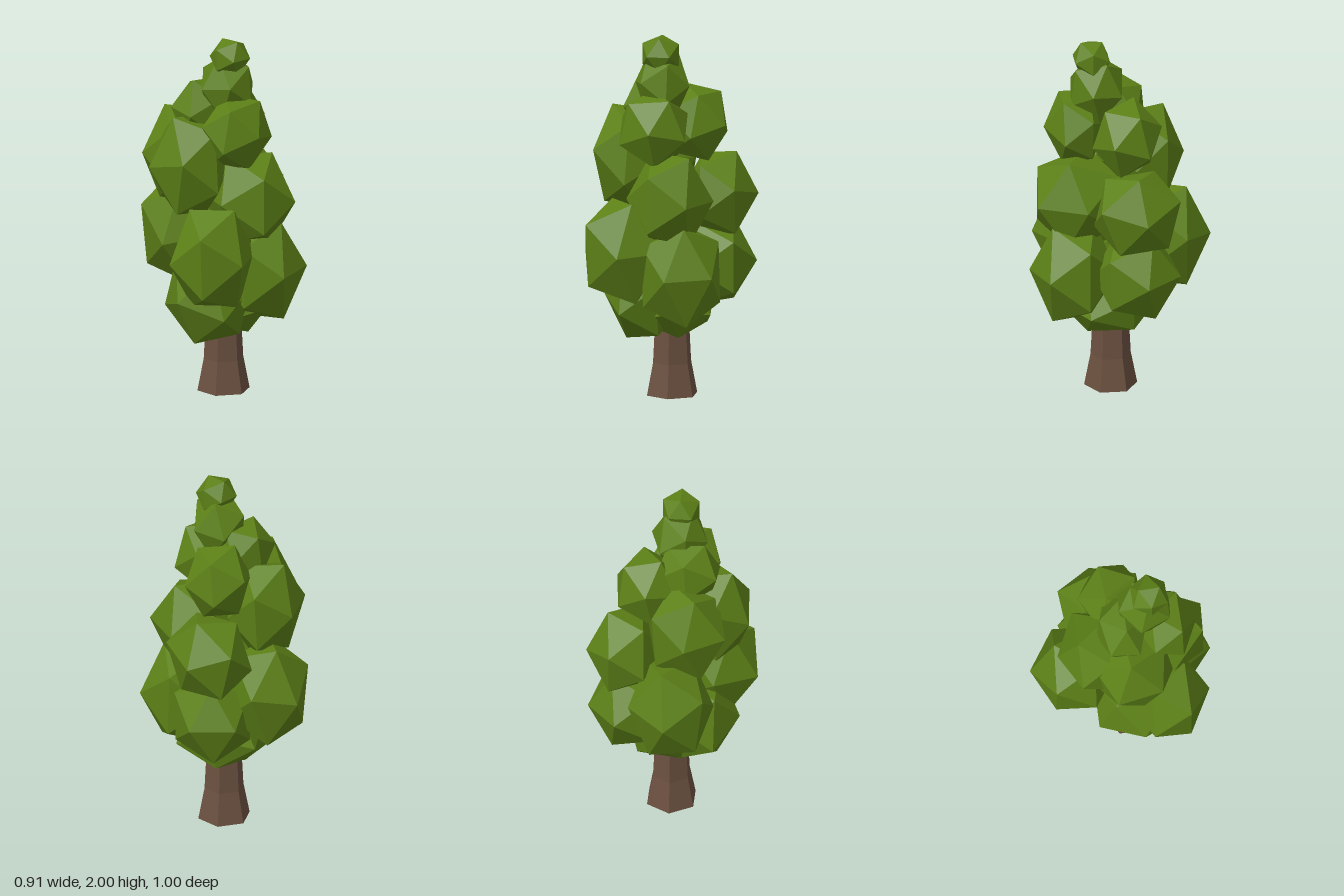
import * as THREE from 'three';

// Foliage clumps: name, centre, full size, heading of the outermost corner and twist about it (degrees)
const CLUMPS = [
  ['crownTip', [-0.04, 1.905, 0.147], [0.2, 0.19, 0.19], 32, 18],
  ['crown', [-0.035, 1.735, 0.12], [0.31, 0.35, 0.29], 78, -26],
  ['upperBack', [-0.09, 1.59, -0.01], [0.34, 0.36, 0.28], -60, 10],
  ['upperFront', [-0.065, 1.505, 0.23], [0.37, 0.4, 0.35], 0, -31],
  ['upperLeft', [0.125, 1.5, -0.03], [0.35, 0.41, 0.38], 63, -38],
  ['middleBack', [-0.1, 1.31, -0.17], [0.43, 0.53, 0.39], 180, -13],
  ['middleRight', [-0.23, 1.31, 0.03], [0.4, 0.56, 0.44], -117, -7],
  ['middleLeft', [0.245, 1.1, -0.07], [0.42, 0.47, 0.46], 98, 4],
  ['middleFront', [0.025, 1.115, 0.23], [0.47, 0.5, 0.46], 33, -19],
  ['lowerRight', [-0.23, 0.82, 0.22], [0.46, 0.56, 0.46], 0, -15],
  ['lowerBack', [-0.02, 0.86, -0.26], [0.45, 0.58, 0.48], 175, 9],
  ['lowerLeft', [0.22, 0.725, -0.07], [0.45, 0.46, 0.47], 100, -16],
  ['lowerFront', [0.09, 0.71, 0.26], [0.41, 0.55, 0.47], -12, -16],
  ['skirtRight', [-0.14, 0.56, 0.08], [0.45, 0.5, 0.47], -90, 36],
  ['skirtMiddle', [0.03, 0.5, 0.06], [0.42, 0.32, 0.54], 0, -27],
];

// Icosahedron with one corner facing the heading, twisted about it and fitted to a size
function clumpGeometry(size, heading, twist) {
  const geo = new THREE.IcosahedronGeometry(1, 0);
  // Bring the corner (0, 1, t) onto +z, with a neighbouring corner straight above it
  geo.rotateX(Math.atan(2 / (1 + Math.sqrt(5)))).rotateZ(Math.PI);
  geo.rotateZ(THREE.MathUtils.degToRad(twist));
  geo.rotateY(THREE.MathUtils.degToRad(heading));
  geo.computeBoundingBox();
  const current = geo.boundingBox.getSize(new THREE.Vector3());
  geo.scale(size[0] / current.x, size[1] / current.y, size[2] / current.z);
  geo.computeVertexNormals();
  return geo;
}

export function createModel() {
  const tree = new THREE.Group();
  tree.name = 'tree';
  const bark = new THREE.MeshStandardMaterial({ color: 0x6b5040, flatShading: true });
  const leaf = new THREE.MeshStandardMaterial({ color: 0x5c8017, flatShading: true });

  // Six-sided trunk with a flared, closed base
  const profile = [[0, 0], [0.145, 0], [0.11, 0.18], [0.1, 0.37], [0.09, 0.6], [0, 0.6]];
  const trunk = new THREE.Mesh(
    new THREE.LatheGeometry(profile.map(([r, y]) => new THREE.Vector2(r, y)), 6), bark);
  trunk.name = 'trunk';
  trunk.position.set(0.005, 0, 0.047);
  tree.add(trunk);

  // Overlapping faceted foliage
  const foliage = new THREE.Group();
  foliage.name = 'foliage';
  for (const [name, centre, size, heading, twist] of CLUMPS) {
    const clump = new THREE.Mesh(clumpGeometry(size, heading, twist), leaf);
    clump.name = name;
    clump.position.set(...centre);
    foliage.add(clump);
  }
  tree.add(foliage);
  return tree;
}
